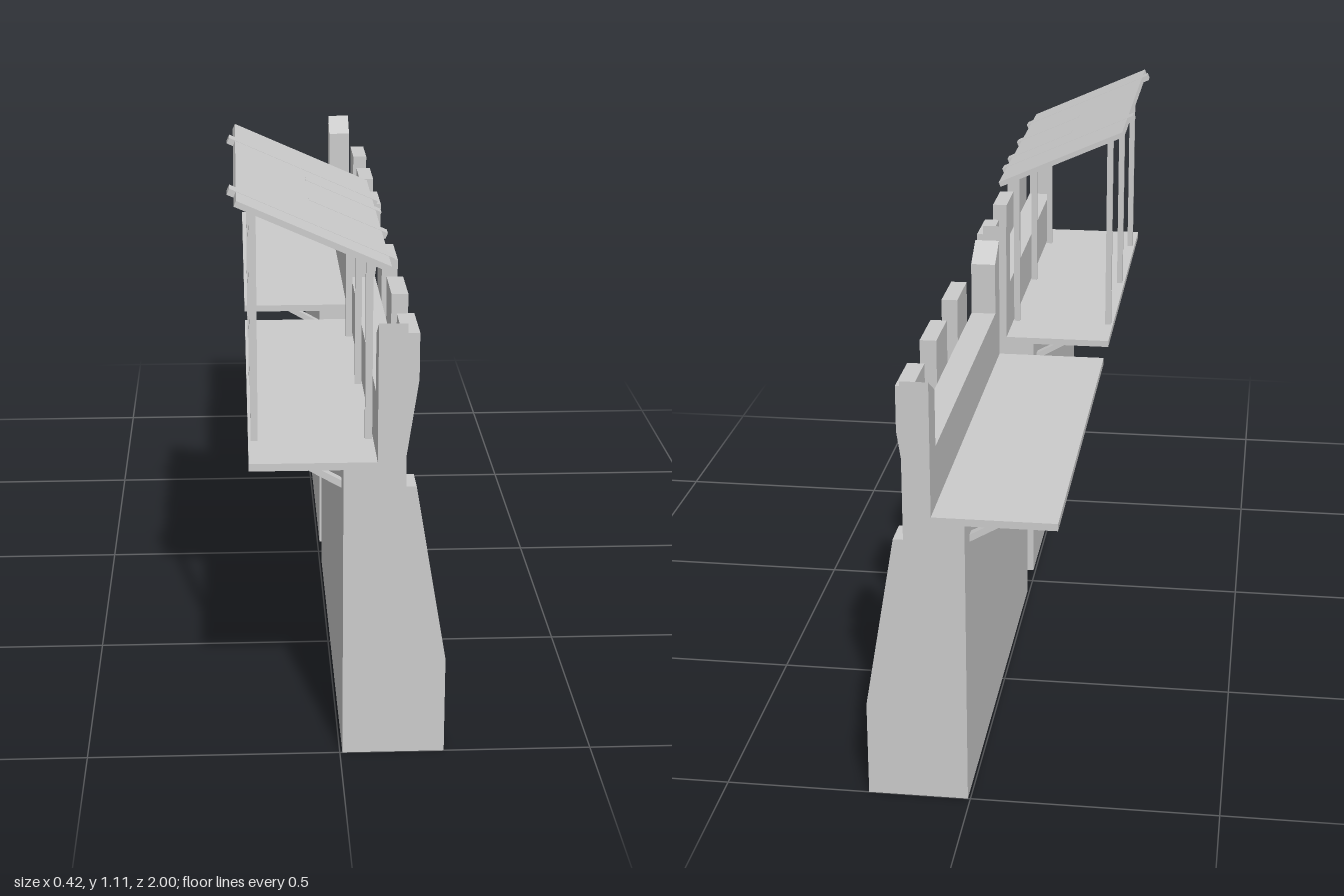
import * as THREE from 'three';

const material = new THREE.MeshStandardMaterial({ color: 0xcccccc, flatShading: true });

function add(parent, name, geometry) {
  const mesh = new THREE.Mesh(geometry, material);
  mesh.name = name;
  parent.add(mesh);
  return mesh;
}

// Box given by its min and max on each axis
function box(parent, name, [x0, x1], [y0, y1], [z0, z1]) {
  const g = new THREE.BoxGeometry(x1 - x0, y1 - y0, z1 - z0);
  g.translate((x0 + x1) / 2, (y0 + y1) / 2, (z0 + z1) / 2);
  return add(parent, name, g);
}

// Side profile (x, y) extruded from z0 to z1
function profile(parent, name, points, z0, z1) {
  const shape = new THREE.Shape(points.map(([x, y]) => new THREE.Vector2(x, y)));
  const g = new THREE.ExtrudeGeometry(shape, { depth: z1 - z0, bevelEnabled: false });
  g.translate(0, 0, z0);
  return add(parent, name, g);
}

const BACK = 0.005, FACE = 0.125, PARAPET = 0.07;
const HALF = 0.47; // half length of one wall section
const PIER = 0.065;

function wallSection(name) {
  const wall = new THREE.Group();
  wall.name = name;

  // Main wall with the thinner parapet on its outer edge
  profile(wall, 'wallBody', [
    [BACK, 0], [FACE, 0], [FACE, 0.735], [PARAPET, 0.735], [PARAPET, 0.6], [BACK, 0.6],
  ], -HALF, HALF);

  // Walkway overhanging the back
  box(wall, 'walkway', [-0.175, PARAPET], [0.6, 0.615], [-HALF, HALF]);

  // Diagonal struts under the walkway
  for (const z of [-0.4, 0, 0.4]) {
    profile(wall, 'walkwayStrut', [
      [BACK, 0.54], [BACK, 0.555], [-0.075, 0.6], [-0.1, 0.6],
    ], z - 0.01, z + 0.01);
  }

  // End piers: sloped buttress below, slant-topped post above
  for (const s of [-1, 1]) {
    const inner = HALF - PIER;
    profile(wall, 'buttress', [
      [BACK, 0], [0.207, 0], [0.207, 0.2], [0.145, 0.565], [BACK, 0.565],
    ], s > 0 ? inner : -HALF, s > 0 ? HALF : -inner);

    const post = box(wall, 'endPost', [PARAPET, FACE], [0.6, 0.89],
      s > 0 ? [inner, HALF] : [-HALF, -inner]);
    const p = post.geometry.attributes.position;
    for (let i = 0; i < p.count; i++) {
      if (p.getY(i) > 0.8 && Math.abs(p.getZ(i)) < HALF - 0.01) p.setY(i, 0.852);
    }
    post.geometry.computeVertexNormals();
  }

  // Merlons hung on the outer face
  for (const z of [-0.271, 0, 0.271]) {
    profile(wall, 'merlon', [
      [FACE, 0.565], [0.135, 0.565], [0.16, 0.735], [0.16, 0.83], [FACE, 0.83],
    ], z - 0.066, z + 0.066);
  }

  // Sloped footing block at the middle of the base
  profile(wall, 'footing', [[FACE, 0], [0.17, 0], [0.147, 0.2], [FACE, 0.2]], -0.066, 0.066);
  return wall;
}

function shelter() {
  const group = new THREE.Group();
  group.name = 'shelter';

  // Tall back posts and shorter front posts
  for (const z of [0.19, 0.528, 0.866]) {
    box(group, 'backPost', [-0.17, -0.156], [0.61, 1.078], [z - 0.007, z + 0.007]);
    box(group, 'frontPost', [0.054, 0.068], [0.61, 0.975], [z - 0.007, z + 0.007]);
  }

  // Sloping roof with a few longer planks
  const roof = new THREE.Group();
  roof.name = 'roof';
  roof.position.set(-0.048, 1.03, 0);
  roof.rotation.z = -Math.atan2(0.14, 0.315);
  box(roof, 'roofPanel', [-0.161, 0.161], [-0.006, 0.006], [0.16, 0.893]);
  for (const z of [0.325, 0.8]) {
    box(roof, 'longPlank', [-0.175, 0.174], [-0.0065, 0.0065], [z - 0.018, z + 0.018]);
  }
  for (const z of [0.425, 0.603]) {
    box(roof, 'eavePlank', [0, 0.175], [-0.0065, 0.0065], [z - 0.016, z + 0.016]);
  }
  group.add(roof);
  return group;
}

export function createModel() {
  const model = new THREE.Group();
  model.name = 'fortWalls';
  for (const [name, z] of [['coveredWall', 0.53], ['openWall', -0.53]]) {
    const wall = wallSection(name);
    wall.position.z = z;
    model.add(wall);
  }
  model.add(shelter());
  return model;
}
